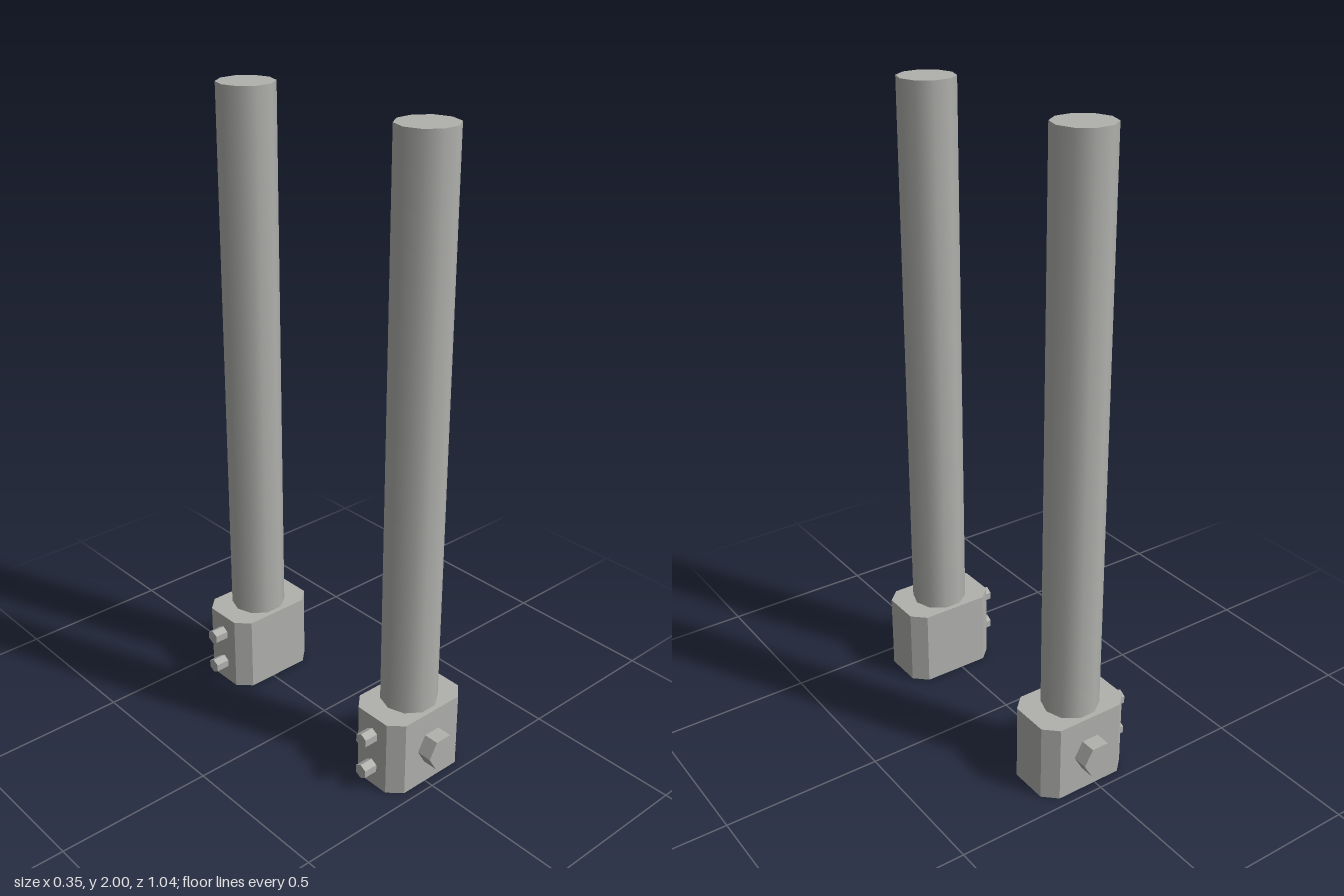
import * as THREE from 'three';

const steel = new THREE.MeshStandardMaterial({ color: 0xb0b0ad });
steel.name = 'steel grey';

const AXIS_X = 0.022, AXIS_Z = 0.367;

function add(parent, name, geometry, x, y, z) {
  const mesh = new THREE.Mesh(geometry, steel);
  mesh.name = name;
  mesh.position.set(x, y, z);
  parent.add(mesh);
}

// Faceted hexagonal prism along y, with corners on the x axis
function hexPrism(radius, length) {
  const g = new THREE.CylinderGeometry(radius, radius, length, 6, 1, false, Math.PI / 2).toNonIndexed();
  g.computeVertexNormals();
  return g;
}

// Rectangular block with its four upright corners cut off
function chamferedBlock(width, height, depth, cutX, cutZ) {
  const w = width / 2, d = depth / 2;
  const outline = [
    [w, -d + cutZ], [w, d - cutZ], [w - cutX, d], [-w + cutX, d],
    [-w, d - cutZ], [-w, -d + cutZ], [-w + cutX, -d], [w - cutX, -d],
  ].map(([x, y]) => new THREE.Vector2(x, y));
  const g = new THREE.ExtrudeGeometry(new THREE.Shape(outline), { depth: height, bevelEnabled: false });
  return g.rotateX(-Math.PI / 2);
}

export function createModel() {
  const model = new THREE.Group();
  model.name = 'pairOfPosts';

  for (const side of [1, -1]) {
    const post = new THREE.Group();
    post.name = side > 0 ? 'frontPost' : 'backPost';
    const z = side * AXIS_Z;

    // Clamp block at the foot
    add(post, 'clampBlock', chamferedBlock(0.306, 0.25, 0.203, 0.042, 0.04), AXIS_X, 0, z);

    // Smooth ten-sided rod
    add(post, 'rod', new THREE.CylinderGeometry(0.089, 0.089, 1.76, 10, 1, false, Math.PI / 2), AXIS_X, 1.12, z);

    // Large bolt head on the outer face
    add(post, 'largeBolt', hexPrism(0.057, 0.06).rotateX(Math.PI / 2), AXIS_X, 0.126, side * 0.488);

    // Two small bolts on the right end
    for (const y of [0.068, 0.183]) {
      add(post, 'smallBolt', hexPrism(0.024, 0.06).rotateZ(Math.PI / 2), -0.147, y, z);
    }
    model.add(post);
  }
  return model;
}
